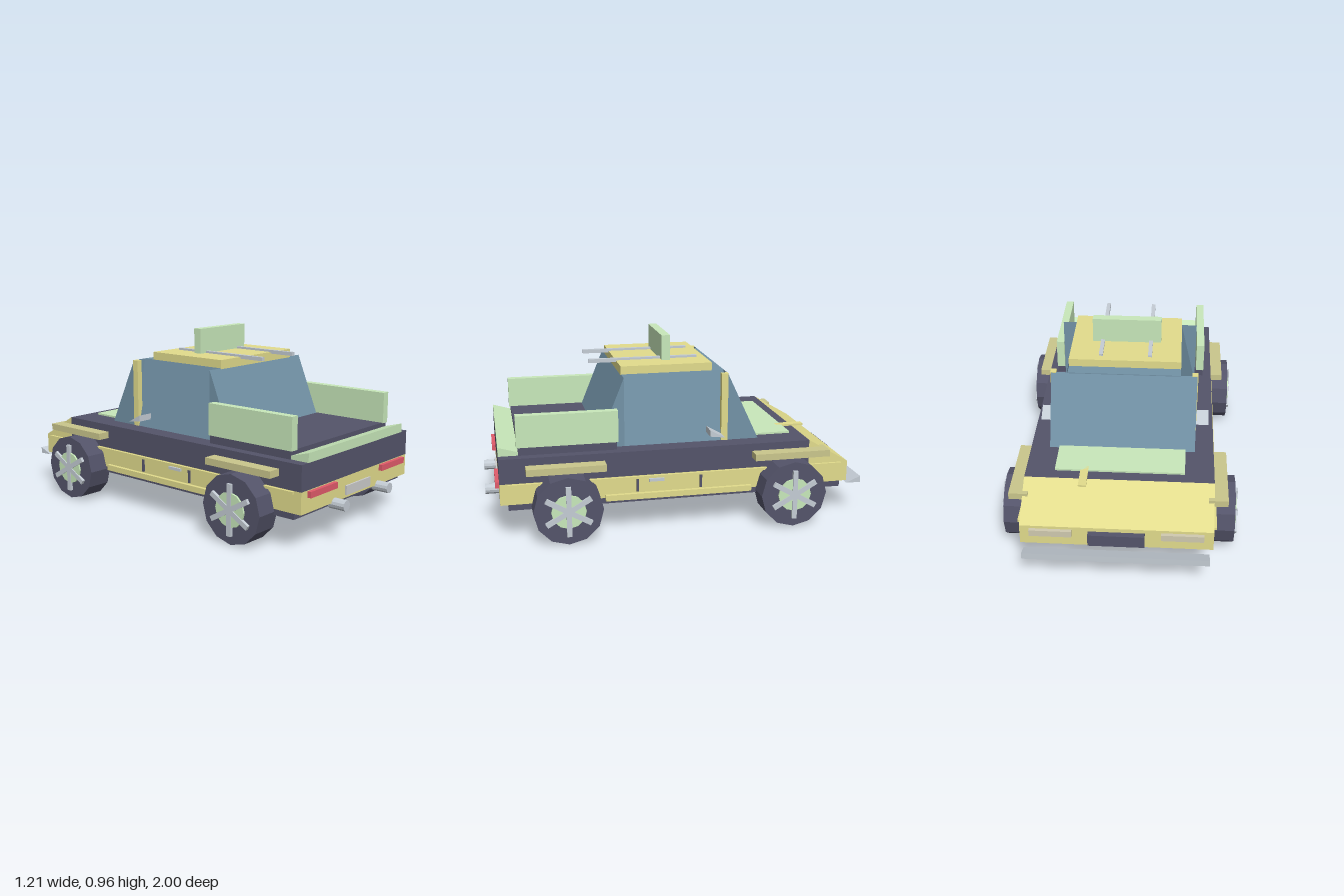
import * as THREE from 'three';

const paint = (color) => new THREE.MeshStandardMaterial({ color, flatShading: true });

export function createModel() {
  const group = new THREE.Group();
  const yellow = paint(0xe2dc8c), fenderTan = paint(0xcac68c), dark = paint(0x54546a);
  const green = paint(0xc8e8ba), glass = paint(0x7292a6), silver = paint(0xc4ccd4);
  const grey = paint(0xcccccc), red = paint(0xe05a6a), lamp = paint(0xd0cab0);

  const add = (name, geometry, material) => {
    const mesh = new THREE.Mesh(geometry, material);
    mesh.name = name;
    group.add(mesh);
    return mesh;
  };
  // Box given by its extents on each axis
  const box = (name, mat, x0, x1, y0, y1, z0, z1) => {
    const m = add(name, new THREE.BoxGeometry(x1 - x0, y1 - y0, z1 - z0), mat);
    m.position.set((x0 + x1) / 2, (y0 + y1) / 2, (z0 + z1) / 2);
    return m;
  };
  // Same box on both sides
  const pair = (name, mat, x0, x1, ...rest) => {
    box(name + 'Left', mat, x0, x1, ...rest);
    box(name + 'Right', mat, -x1, -x0, ...rest);
  };
  // Side profile of [z, y] points swept across x
  const sweep = (name, mat, points, x0, x1) => {
    const shape = new THREE.Shape(points.map(([z, y]) => new THREE.Vector2(z, y)));
    const g = new THREE.ExtrudeGeometry(shape, { depth: x1 - x0, bevelEnabled: false });
    g.rotateY(-Math.PI / 2).translate(x1, 0, 0);
    return add(name, g, mat);
  };

  // Body
  box('underbody', dark, -0.478, 0.478, 0.16, 0.19, -0.87, 0.89);
  box('lowerBody', yellow, -0.478, 0.478, 0.19, 0.3, -0.91, 0.93);
  box('upperBody', dark, -0.478, 0.478, 0.3, 0.43, -0.69, 0.93);
  sweep('hood', yellow, [[-0.69, 0.3], [-0.69, 0.43], [-0.91, 0.3]], -0.478, 0.478);
  pair('sideTrim', yellow, 0.47, 0.492, 0.285, 0.298, -0.87, 0.89);
  pair('sideSkirt', yellow, 0.47, 0.498, 0.178, 0.208, -0.37, 0.4);
  pair('doorGapRear', dark, 0.47, 0.486, 0.215, 0.285, 0.227, 0.239);
  pair('doorGapFront', dark, 0.47, 0.486, 0.215, 0.285, -0.106, -0.094);
  pair('doorHandle', silver, 0.47, 0.49, 0.265, 0.28, 0.095, 0.175);

  // Nose
  box('hoodPanel', green, -0.33, 0.33, 0.425, 0.44, -0.63, -0.43);
  box('hoodStrip', yellow, 0.16, 0.2, 0.43, 0.44, -0.755, -0.6);
  box('grille', dark, -0.14, 0.14, 0.212, 0.278, -0.94, -0.9);
  pair('headlight', lamp, 0.22, 0.43, 0.25, 0.285, -0.928, -0.9);
  sweep('frontSplitter', silver, [[-0.92, 0.168], [-1, 0.2], [-1, 0.165]], -0.46, 0.46);

  // Cargo bed and tail
  box('cargoBed', dark, -0.43, 0.43, 0.4, 0.472, 0.33, 0.83);
  pair('bedPanel', green, 0.388, 0.432, 0.47, 0.635, 0.322, 0.838);
  sweep('tailSpoiler', green, [[0.93, 0.43], [0.93, 0.477], [0.82, 0.445], [0.82, 0.43]], -0.425, 0.425);
  pair('tailLight', red, 0.205, 0.428, 0.265, 0.296, 0.92, 0.95);
  box('rearPlate', grey, -0.11, 0.11, 0.205, 0.253, 0.92, 0.94);
  for (const x of [-0.2, 0.2]) {
    const pipe = add('exhaust', new THREE.CylinderGeometry(0.028, 0.028, 0.09, 12), silver);
    pipe.rotation.x = Math.PI / 2;
    pipe.position.set(x, 0.185, 0.955);
  }

  // Cabin: sides lean in, sloped screens keep their full width
  const section = new THREE.Shape([[-0.38, 0.43], [0.38, 0.43], [0.295, 0.79], [-0.295, 0.79]]
    .map(([x, y]) => new THREE.Vector2(x, y)));
  const cabin = new THREE.ExtrudeGeometry(section, { depth: 0.55, bevelEnabled: false });
  add('cabinGlass', cabin.translate(0, 0, -0.267), glass);
  sweep('windshield', glass, [[-0.265, 0.43], [-0.265, 0.79], [-0.435, 0.43]], -0.38, 0.38);
  sweep('rearScreen', glass, [[0.283, 0.43], [0.43, 0.43], [0.283, 0.79]], -0.38, 0.38);
  pair('pillar', yellow, 0.355, 0.385, 0.43, 0.79, -0.267, -0.232);
  box('roof', yellow, -0.295, 0.295, 0.785, 0.832, -0.2, 0.285);
  pair('roofRail', silver, 0.119, 0.14, 0.823, 0.843, -0.157, 0.428);
  box('roofBoard', green, -0.184, 0.184, 0.832, 0.965, 0, 0.046);
  const mirror = [[-0.155, 0.475], [-0.155, 0.508], [-0.235, 0.465]];
  sweep('mirrorLeft', silver, mirror, 0.365, 0.453);
  sweep('mirrorRight', silver, mirror, -0.453, -0.365);

  // Fenders
  pair('rearFender', fenderTan, 0.45, 0.547, 0.356, 0.391, 0.4, 0.8);
  pair('frontFender', fenderTan, 0.45, 0.547, 0.356, 0.391, -0.78, -0.375);

  // Wheels with a round hub and three crossed bars
  for (const side of [-1, 1]) for (const z of [-0.575, 0.6]) {
    const wheel = new THREE.Group();
    wheel.name = 'wheel';
    const disc = (name, r, x0, x1, mat) => {
      const m = new THREE.Mesh(new THREE.CylinderGeometry(r, r, x1 - x0, 12), mat);
      m.name = name;
      m.rotation.z = Math.PI / 2;
      m.position.x = side * (x0 + x1) / 2;
      wheel.add(m);
    };
    disc('tire', 0.176, 0.453, 0.59, dark);
    disc('hub', 0.088, 0.58, 0.6, green);
    for (let i = 0; i < 3; i++) {
      const bar = new THREE.Mesh(new THREE.BoxGeometry(0.025, 0.26, 0.026), silver);
      bar.name = 'spoke';
      bar.position.x = side * 0.593;
      bar.rotation.x = i * Math.PI / 3;
      wheel.add(bar);
    }
    wheel.position.set(0, 0.176, z);
    group.add(wheel);
  }
  return group;
}
